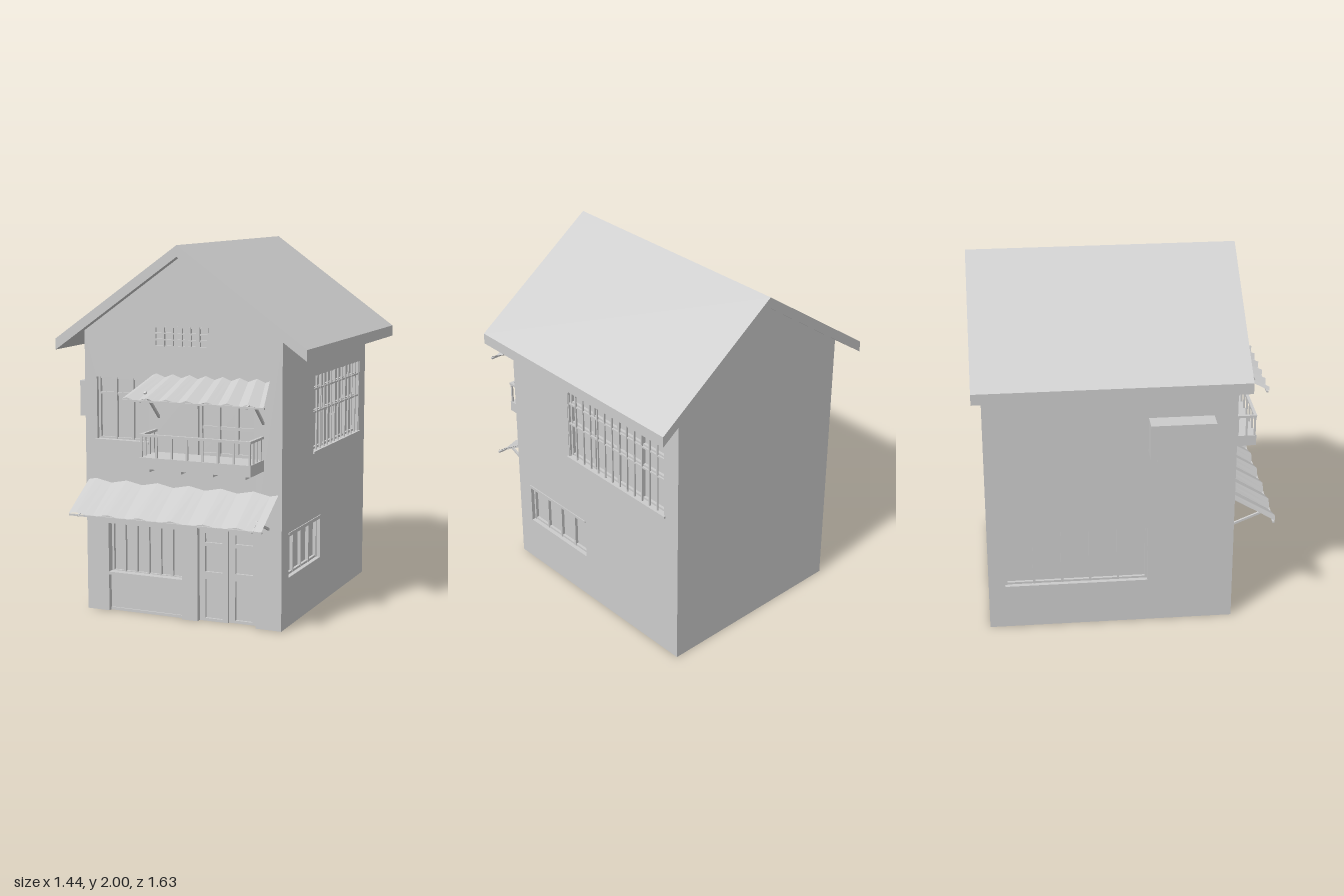
import * as THREE from 'three';

const mat = new THREE.MeshStandardMaterial({ color: 0xcccccc, side: THREE.DoubleSide, flatShading: true });

function add(parent, name, geometry) {
  const mesh = new THREE.Mesh(geometry, mat);
  mesh.name = name;
  parent.add(mesh);
  return mesh;
}

// Box given by its lower and upper limits on each axis
function box(parent, name, x0, x1, y0, y1, z0, z1) {
  const mesh = add(parent, name, new THREE.BoxGeometry(x1 - x0, y1 - y0, z1 - z0));
  mesh.position.set((x0 + x1) / 2, (y0 + y1) / 2, (z0 + z1) / 2);
  return mesh;
}

function group(parent, name) {
  const g = new THREE.Group();
  g.name = name;
  parent.add(g);
  return g;
}

const toShape = pts => new THREE.Shape(pts.map(([x, y]) => new THREE.Vector2(x, y)));
const rect = (x0, x1, y0, y1) => [[x0, y0], [x1, y0], [x1, y1], [x0, y1]];

// Thin wall facing local +z, pierced by rectangular openings
function wall(parent, name, outline, openings, angle, x, z) {
  const g = group(parent, name);
  const shape = toShape(outline);
  openings.forEach(o => shape.holes.push(toShape(rect(...o).reverse())));
  add(g, name + 'Surface', new THREE.ShapeGeometry(shape));
  g.rotation.y = angle;
  g.position.set(x, 0, z);
  return g;
}

// Sides of an opening, running inward from the wall
function reveal(parent, [x0, x1, y0, y1], depth) {
  const t = 0.008, a = -depth, b = -0.001;
  box(parent, 'jamb', x0 - t, x0, y0, y1, a, b);
  box(parent, 'jamb', x1, x1 + t, y0, y1, a, b);
  box(parent, 'lintel', x0 - t, x1 + t, y1, y1 + t, a, b);
  if (y0 > 0) box(parent, 'ledge', x0 - t, x1 + t, y0 - t, y0, a, b);
}

// Recessed window: glass, frame, evenly spaced mullions and optional rails
function windowUnit(parent, name, o, depth, columns, rails = [], bar = 0.012) {
  const g = group(parent, name), [x0, x1, y0, y1] = o;
  reveal(g, o, depth);
  box(g, 'glass', x0, x1, y0, y1, -depth - 0.004, -depth);
  const front = -depth + 0.018;
  for (let i = 0; i <= columns; i++) {
    const x = x0 + bar / 2 + (x1 - x0 - bar) * i / columns;
    box(g, 'mullion', x - bar / 2, x + bar / 2, y0, y1, -depth, front);
  }
  [y0 + bar / 2, y1 - bar / 2, ...rails].forEach(y =>
    box(g, 'rail', x0, x1, y - bar / 2, y + bar / 2, -depth, front - 0.003));
  return g;
}

// Straight square bar between two points
function strut(parent, a, b, size) {
  const p = new THREE.Vector3(...a), q = new THREE.Vector3(...b);
  const mesh = add(parent, 'strut', new THREE.BoxGeometry(size, size, p.distanceTo(q)));
  mesh.position.copy(p).add(q).multiplyScalar(0.5);
  mesh.lookAt(q);
}

// Corrugated sloping canopy on two struts
function awning(parent, name, back, front, waves, strutX, drop) {
  const g = group(parent, name);
  const geo = new THREE.PlaneGeometry(1, 1, waves * 4, 1), pos = geo.attributes.position;
  for (let i = 0; i < pos.count; i++) {
    const u = pos.getX(i) + 0.5, t = 0.5 - pos.getY(i);
    const w = 0.011 * Math.sin(u * waves * Math.PI * 2);
    const x0 = THREE.MathUtils.lerp(back.x0, front.x0, t), x1 = THREE.MathUtils.lerp(back.x1, front.x1, t);
    pos.setXYZ(i, x0 + (x1 - x0) * u,
      THREE.MathUtils.lerp(back.y, front.y, t) + w * 0.85,
      THREE.MathUtils.lerp(0.57, 0.8, t) + w * 0.5 * t);
  }
  geo.computeVertexNormals();
  add(g, 'canopy', geo);
  box(g, 'frontRail', front.x0, front.x1, front.y - 0.013, front.y - 0.004, 0.785, 0.797);
  for (const x of strutX) {
    strut(g, [x, back.y - drop, 0.565], [x, front.y + 0.03, 0.735], 0.012);
    strut(g, [x, back.y - 0.02, 0.57], [x, front.y - 0.012, 0.795], 0.01);
  }
}

// Door leaf with three panels sunk into it
function doorLeaf(parent, x0, x1, top, z) {
  const c = (x0 + x1) / 2, w = 0.05;
  const shape = toShape(rect(x0, x1, 0, top));
  [[0.015, 0.23], [0.27, 0.41], [0.43, 0.48]].forEach(([a, b]) =>
    shape.holes.push(toShape(rect(c - w, c + w, a, b).reverse())));
  const leaf = add(parent, 'doorLeaf', new THREE.ExtrudeGeometry(shape, { depth: 0.014, bevelEnabled: false }));
  leaf.position.z = z;
  box(parent, 'doorPanel', x0, x1, 0, top, z - 0.004, z);
}

export function createModel() {
  const house = new THREE.Group();
  house.name = 'house';

  // Roof slab with a gable profile
  const roofGeo = new THREE.ExtrudeGeometry(
    toShape([[-0.72, 1.43], [0, 1.94], [0.72, 1.43], [0.72, 1.49], [0, 2], [-0.72, 1.49]].reverse()),
    { depth: 1.44, bevelEnabled: false });
  add(house, 'roof', roofGeo).position.z = -0.82;

  // Front wall, notched for shop front and door
  const gable = [[0.57, 0], [0.57, 1.536], [0, 1.94], [-0.57, 1.536], [-0.57, 0]];
  const upper = [-0.5, -0.19, 0.95, 1.29], balconyDoor = [0.095, 0.42, 0.9, 1.28], vent = [-0.155, 0.16, 1.465, 1.575];
  const front = wall(house, 'frontWall', [
    ...gable, [-0.44, 0], [-0.44, 0.49], [0, 0.49], [0, 0], [0.09, 0], [0.09, 0.51], [0.425, 0.51], [0.425, 0],
  ], [upper, balconyDoor, vent], 0, 0, 0.57);

  // Shop front
  const shop = group(front, 'shopFront');
  windowUnit(shop, 'shopWindow', [-0.44, 0, 0.21, 0.49], 0.06, 6);
  reveal(shop, [-0.44, 0, 0, 0.21], 0.06);
  box(shop, 'basePanel', -0.44, 0, 0, 0.205, -0.06, -0.03);
  box(shop, 'plinth', -0.44, 0, 0, 0.015, -0.06, -0.022);
  box(shop, 'shopSill', -0.44, 0, 0.203, 0.215, -0.06, -0.022);

  // Double door
  const door = group(front, 'door');
  reveal(door, [0.09, 0.425, 0, 0.51], 0.06);
  doorLeaf(door, 0.09, 0.255, 0.51, -0.045);
  doorLeaf(door, 0.255, 0.425, 0.505, -0.06);

  // Upper front windows
  windowUnit(front, 'upperWindow', upper, 0.04, 3, [1.2]);
  box(front, 'upperSill', -0.51, -0.19, 0.943, 0.953, -0.03, 0.01);
  windowUnit(front, 'balconyDoor', balconyDoor, 0.04, 3, [1.05], 0.016);

  // Lattice vent in the gable
  const lattice = group(front, 'vent');
  reveal(lattice, vent, 0.03);
  box(lattice, 'ventBack', -0.155, 0.16, 1.465, 1.575, -0.034, -0.03);
  for (let i = 0; i <= 6; i++) {
    const x = -0.151 + 0.307 * i / 6;
    box(lattice, 'ventBar', x - 0.004, x + 0.004, 1.465, 1.575, -0.012, 0.002);
  }
  for (let i = 0; i <= 3; i++) {
    const y = 1.469 + 0.102 * i / 3;
    box(lattice, 'ventSlat', -0.155, 0.16, y - 0.004, y + 0.004, -0.014, 0.001);
  }

  // Back wall
  wall(house, 'backWall', gable, [], Math.PI, 0, -0.77);

  // Left wall: local x runs towards -z
  const barred = [-0.105, 0.67, 0.88, 1.29], low = [-0.47, 0.02, 0.265, 0.485];
  const left = wall(house, 'leftWall', rect(-0.57, 0.77, 0, 1.536), [barred, low], Math.PI / 2, 0.57, 0);
  windowUnit(left, 'barredWindow', barred, 0.04, 4, [1.09, 1.215]);
  const bars = group(left, 'windowBars');
  for (let i = 0; i < 14; i++) {
    const x = -0.1 + 0.765 * i / 13;
    box(bars, 'bar', x - 0.004, x + 0.004, 0.88, 1.29, -0.012, -0.003);
  }
  for (const y of [1.09, 1.215]) box(bars, 'crossBar', -0.105, 0.67, y - 0.005, y + 0.005, -0.014, -0.005);
  box(left, 'barredSill', -0.112, 0.675, 0.868, 0.88, -0.04, 0.01);
  windowUnit(left, 'lowWindow', low, 0.04, 4);
  box(left, 'lowWindowHead', -0.47, 0.02, 0.497, 0.507, 0, 0.005);

  // Right wall: local x runs towards +z
  const long = [-0.68, 0.1, 0.255, 0.585];
  const right = wall(house, 'rightWall', rect(-0.77, 0.57, 0, 1.536), [long], -Math.PI / 2, -0.57, 0);
  windowUnit(right, 'longWindow', long, 0.04, 5);

  // Wall-hung box on a bracket
  box(house, 'wallUnit', -0.67, -0.57, 1.05, 1.245, 0.1, 0.445);
  box(house, 'wallUnitBracket', -0.655, -0.57, 1.02, 1.05, 0.14, 0.405);

  // Awnings
  awning(house, 'lowerAwning', { x0: -0.555, x1: 0.55, y: 0.725 }, { x0: -0.555, x1: 0.55, y: 0.582 }, 6, [-0.5, 0.495], 0.185);
  awning(house, 'upperAwning', { x0: -0.165, x1: 0.5, y: 1.315 }, { x0: -0.23, x1: 0.56, y: 1.215 }, 7, [-0.13, 0.465], 0.225);

  // Balcony
  const balcony = group(house, 'balcony');
  box(balcony, 'floor', -0.155, 0.47, 0.845, 0.905, 0.57, 0.755);
  for (let i = 0; i < 4; i++) {
    const x = -0.115 + 0.18 * i;
    box(balcony, 'joist', x - 0.007, x + 0.007, 0.825, 0.845, 0.57, 0.73);
  }
  box(balcony, 'frontHandrail', -0.155, 0.47, 1.015, 1.028, 0.738, 0.755);
  for (let i = 0; i < 8; i++) {
    const x = -0.147 + 0.609 * i / 7;
    box(balcony, 'baluster', x - 0.005, x + 0.005, 0.905, 1.015, 0.741, 0.751);
  }
  for (const x of [-0.147, 0.462]) {
    box(balcony, 'sideHandrail', x - 0.008, x + 0.008, 1.015, 1.028, 0.57, 0.738);
    for (const z of [0.6, 0.65, 0.7]) box(balcony, 'baluster', x - 0.005, x + 0.005, 0.905, 1.015, z - 0.005, z + 0.005);
  }

  return house;
}
